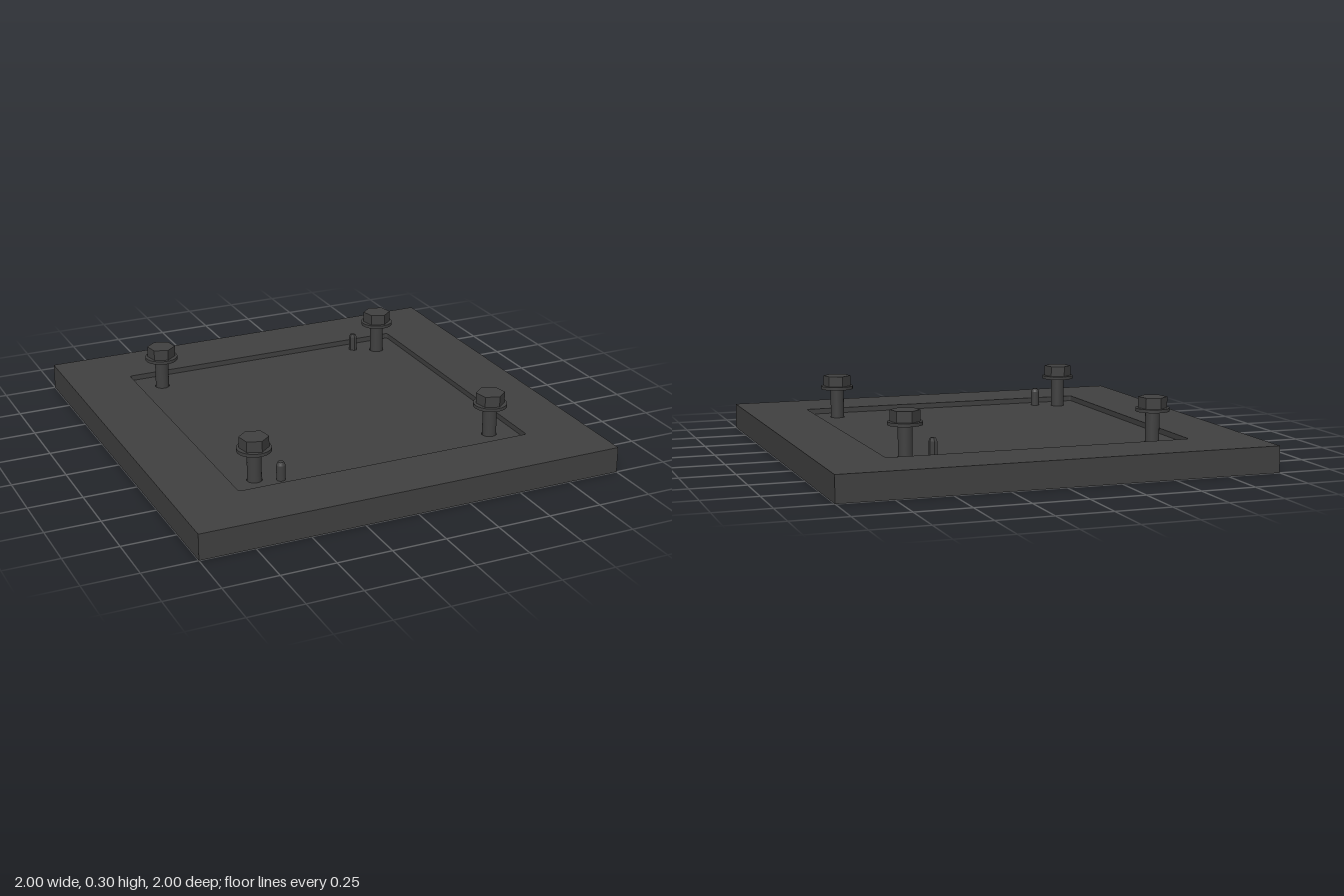
import * as THREE from 'three';

const dark = new THREE.MeshStandardMaterial({ color: 0x404040 });
const darkFlat = new THREE.MeshStandardMaterial({ color: 0x404040, flatShading: true });

const PLATE_TOP = 0.12, FLOOR = 0.095, BOLT = 0.58;

function add(parent, name, geometry, material = dark, y = 0) {
  const mesh = new THREE.Mesh(geometry, material);
  mesh.name = name;
  mesh.position.y = y;
  parent.add(mesh);
  return mesh;
}

// Square outline with optionally rounded corners
function square(half, r, Type = THREE.Shape) {
  const s = new Type();
  if (!r) {
    return s.setFromPoints([[-1, -1], [1, -1], [1, 1], [-1, 1]].map(([x, y]) => new THREE.Vector2(x * half, y * half)));
  }
  const c = half - r;
  s.absarc(c, c, r, 0, Math.PI / 2);
  s.absarc(-c, c, r, Math.PI / 2, Math.PI);
  s.absarc(-c, -c, r, Math.PI, Math.PI * 1.5);
  s.absarc(c, -c, r, Math.PI * 1.5, Math.PI * 2);
  return s;
}

// Horizontal slab extruded upwards
function slab(shape, depth) {
  return new THREE.ExtrudeGeometry(shape, { depth, bevelEnabled: false, curveSegments: 16 }).rotateX(-Math.PI / 2);
}

function makeBolt() {
  const bolt = new THREE.Group();
  bolt.name = 'bolt';
  add(bolt, 'boltShank', new THREE.CylinderGeometry(0.032, 0.032, 0.205, 32), dark, 0.1375);
  add(bolt, 'boltFlange', new THREE.CylinderGeometry(0.077, 0.077, 0.015, 48), dark, 0.2425);
  const head = add(bolt, 'hexHead', new THREE.CylinderGeometry(0.066, 0.066, 0.05, 6), darkFlat, 0.275);
  head.rotation.y = THREE.MathUtils.degToRad(10);
  return bolt;
}

export function createModel() {
  const model = new THREE.Group();
  model.name = 'fixturePlate';
  const corners = [[-1, -1], [1, -1], [1, 1], [-1, 1]];

  // Plate floor with four through holes
  const base = square(1, 0);
  for (const [x, z] of corners) {
    base.holes.push(new THREE.Path().absarc(x * BOLT, z * BOLT, 0.034, 0, Math.PI * 2));
  }
  add(model, 'plateBase', slab(base, FLOOR));

  // Raised border around the shallow pocket
  const rim = square(1, 0);
  rim.holes.push(square(0.703, 0.012, THREE.Path));
  add(model, 'pocketRim', slab(rim, PLATE_TOP - FLOOR), dark, FLOOR);

  // Flanged hex bolts
  for (const [x, z] of corners) {
    const bolt = makeBolt();
    bolt.position.set(x * BOLT, 0, z * BOLT);
    model.add(bolt);
  }

  // Round locating pin with a chamfered tip
  const roundPin = new THREE.Group();
  roundPin.name = 'roundPin';
  roundPin.position.set(-0.475, 0, 0.625);
  add(roundPin, 'pinBody', new THREE.CylinderGeometry(0.02, 0.02, 0.095, 24), dark, 0.1175);
  add(roundPin, 'pinTip', new THREE.CylinderGeometry(0.013, 0.02, 0.015, 24), dark, 0.1725);
  model.add(roundPin);

  // Relieved (diamond) pin, long axis across the line joining both pins
  const diamondPin = new THREE.Group();
  diamondPin.name = 'diamondPin';
  diamondPin.position.set(0.47, 0, -0.627);
  diamondPin.rotation.y = -Math.atan2(0.475, 0.625);
  diamondPin.scale.z = 0.6;
  add(diamondPin, 'diamondBody', new THREE.CylinderGeometry(0.02, 0.02, 0.095, 6).rotateY(Math.PI / 6), darkFlat, 0.1175);
  add(diamondPin, 'diamondTip', new THREE.CylinderGeometry(0.013, 0.02, 0.015, 6).rotateY(Math.PI / 6), darkFlat, 0.1725);
  model.add(diamondPin);

  return model;
}
